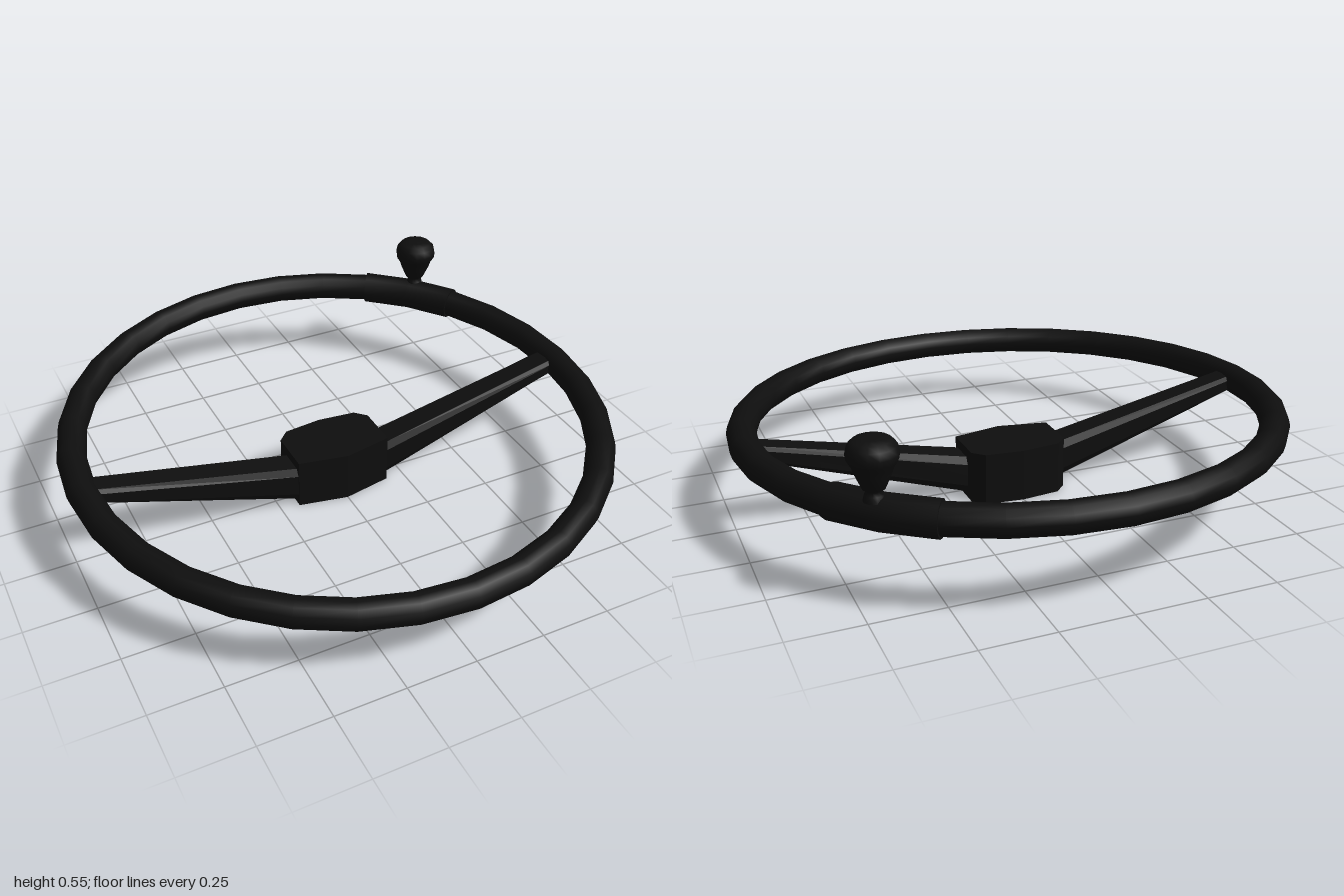
import * as THREE from 'three';
import { toCreasedNormals } from 'three/addons/utils/BufferGeometryUtils.js';

const RIM_R = 0.945, TUBE_R = 0.052, STEP = Math.PI / 16;

// Joins equal-length point loops into a closed solid
function loft(loops) {
  const n = loops[0].length, idx = [];
  for (let s = 0; s < loops.length - 1; s++) {
    for (let i = 0; i < n; i++) {
      const a = s * n + i, b = s * n + (i + 1) % n;
      idx.push(a, b, b + n, a, b + n, a + n);
    }
  }
  const last = (loops.length - 1) * n;
  for (let i = 1; i < n - 1; i++) idx.push(0, i + 1, i, last, last + i, last + i + 1);
  const geo = new THREE.BufferGeometry();
  geo.setAttribute('position', new THREE.Float32BufferAttribute(loops.flat(2), 3));
  geo.setIndex(idx);
  return toCreasedNormals(geo, 0.4);
}

export function createModel() {
  const model = new THREE.Group();
  model.name = 'steeringWheel';
  const black = new THREE.MeshStandardMaterial({ color: 0x0e0e0e });
  const add = (parent, name, geo) => {
    const mesh = new THREE.Mesh(geo, black);
    mesh.name = name;
    parent.add(mesh);
    return mesh;
  };

  // Rim and grip sleeve, tilted up towards the back
  const rimGroup = new THREE.Group();
  rimGroup.name = 'tiltedRim';
  rimGroup.position.y = 0.285;
  rimGroup.rotation.x = 0.0423;
  model.add(rimGroup);
  add(rimGroup, 'rim', new THREE.TorusGeometry(RIM_R, TUBE_R, 12, 32).rotateX(-Math.PI / 2));

  const sleeveR = 0.06;
  add(rimGroup, 'knobSleeve',
    new THREE.TorusGeometry(RIM_R, sleeveR, 12, 2, 2 * STEP).rotateZ(3 * STEP).rotateX(-Math.PI / 2));
  for (const [k, flip] of [[3, 0], [5, Math.PI]]) {
    const cap = new THREE.CircleGeometry(sleeveR, 12).rotateY(flip);
    cap.translate(RIM_R, 0, 0).rotateY(k * STEP);
    add(rimGroup, 'sleeveCap', cap);
  }

  // Spinner knob on a flared neck
  const profile = [[0.035, 0.355], [0.03, 0.375], [0.021, 0.385], [0.036, 0.395], [0.058, 0.445],
    [0.064, 0.465], [0.077, 0.485], [0.08, 0.505], [0.074, 0.53], [0.058, 0.546], [0.03, 0.551], [0, 0.552]];
  const knob = add(model, 'spinnerKnob',
    new THREE.LatheGeometry(profile.map(([r, y]) => new THREE.Vector2(r, y)), 14));
  knob.position.set(0.69, 0, -0.665);

  // Hub, extruded upwards from its outline (shape y is -z)
  const outline = [[-0.18, -0.06], [0, -0.095], [0.18, -0.06], [0.18, 0.1], [0.14, 0.14],
    [0, 0.155], [-0.14, 0.14], [-0.18, 0.1]].map(([x, y]) => new THREE.Vector2(x, y));
  add(model, 'hub', new THREE.ExtrudeGeometry(new THREE.Shape(outline), { depth: 0.19, bevelEnabled: false })
    .rotateX(-Math.PI / 2));

  // Tapered spokes with chamfered tops, rising from the hub to the rim
  const section = (x, y0, y1, w) => {
    const c = (y1 - y0) * 0.2;
    return [[x, y0, w - 0.012], [x, y0 + c, w], [x, y1 - c, w], [x, y1, w - 0.015],
      [x, y1, 0.015 - w], [x, y1 - c, -w], [x, y0 + c, -w], [x, y0, 0.012 - w]]
      .map(([a, b, z]) => [a, b, z - 0.005]).reverse();
  };
  const spoke = loft([section(0.14, 0.01, 0.145, 0.06), section(0.18, 0.02, 0.155, 0.06),
    section(0.93, 0.262, 0.315, 0.05)]);
  add(model, 'leftSpoke', spoke);
  // Half turn about y, shifted so both spokes share the same centre line
  add(model, 'rightSpoke', spoke.clone().rotateY(Math.PI).translate(0, 0, -0.01));

  return model;
}
